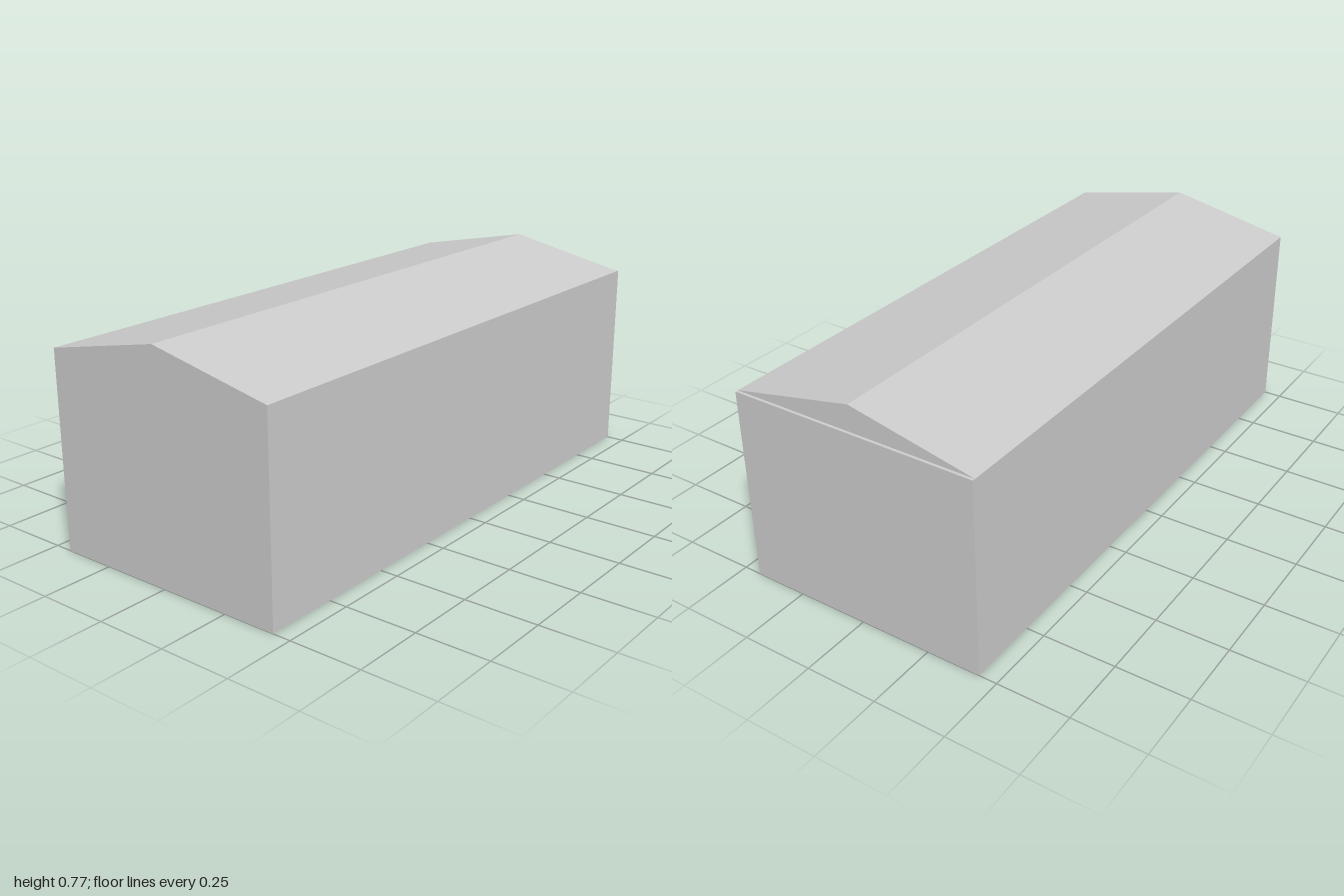
import * as THREE from 'three';

const WIDTH = 2, DEPTH = 0.875, WALL = 0.68, RIDGE = 0.77, SETBACK = 0.01;

export function createModel() {
  const group = new THREE.Group();
  group.name = 'building';
  const material = new THREE.MeshStandardMaterial({ color: 0xcccccc, flatShading: true });

  // Rectangular block of the walls
  const walls = new THREE.Mesh(new THREE.BoxGeometry(WIDTH, WALL, DEPTH), material);
  walls.name = 'walls';
  walls.position.y = WALL / 2;
  group.add(walls);

  // Low gabled roof, flush on one end and set back slightly at the +x end
  const gable = new THREE.Shape();
  gable.moveTo(-DEPTH / 2, 0);
  gable.lineTo(DEPTH / 2, 0);
  gable.lineTo(0, RIDGE - WALL);
  gable.closePath();
  const roofGeometry = new THREE.ExtrudeGeometry(gable, { depth: WIDTH - SETBACK, bevelEnabled: false });
  roofGeometry.rotateY(Math.PI / 2);
  const roof = new THREE.Mesh(roofGeometry, material);
  roof.name = 'roof';
  roof.position.set(-WIDTH / 2, WALL, 0);
  group.add(roof);

  return group;
}
